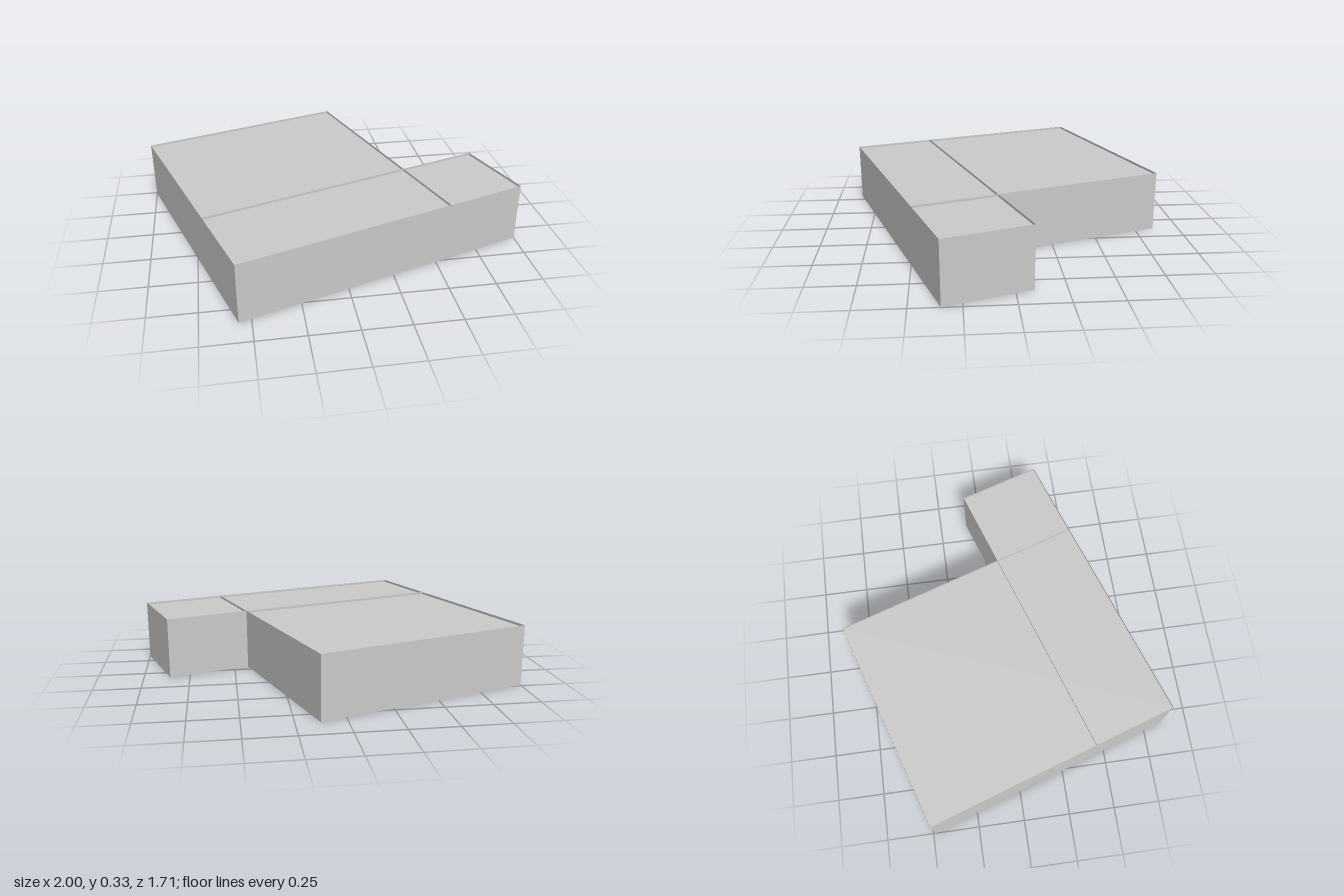
import * as THREE from 'three';

const material = new THREE.MeshStandardMaterial({ color: 0xcccccc, side: THREE.DoubleSide, flatShading: true });

// Plan sizes, measured from the front corner along the two wall directions
const W = 1.643, D = 1.415;      // full width and depth
const MAIN = 1.188, WING = 0.463; // width of the main block, depth of the front wing
const ROOF = 0.317, TOP = 0.33;   // roof level, top of the rim

// Upright sheet from plan point p to q, facing outward for a counterclockwise outline
function sheet(name, p, q, y0, y1) {
  const dx = q[0] - p[0], dz = q[1] - p[1];
  const mesh = new THREE.Mesh(new THREE.PlaneGeometry(Math.hypot(dx, dz), y1 - y0), material);
  mesh.position.set((p[0] + q[0]) / 2, (y0 + y1) / 2, (p[1] + q[1]) / 2);
  mesh.rotation.y = Math.atan2(-dz, dx);
  mesh.name = name;
  return mesh;
}

export function createModel() {
  const model = new THREE.Group();
  model.name = 'building';
  const block = new THREE.Group();
  block.name = 'block';
  block.position.set(-0.563, 0, 0.857);
  block.rotation.y = THREE.MathUtils.degToRad(18);
  model.add(block);

  // L-shaped outline, counterclockwise from above
  const outline = [[0, 0], [W, 0], [W, -WING], [MAIN, -WING], [MAIN, -D], [0, -D]];
  const names = ['front', 'wingEnd', 'wingBack', 'side', 'back', 'otherSide'];

  // Outer walls, open underneath, with a low rim above the roof
  outline.forEach((p, i) => {
    const q = outline[(i + 1) % outline.length];
    block.add(sheet(names[i] + 'Wall', p, q, 0, ROOF));
    block.add(sheet(names[i] + 'Rim', p, q, ROOF, TOP));
  });

  // Low dividers splitting the roof into three fields
  block.add(sheet('longDivider', [0, -WING], [MAIN, -WING], ROOF, TOP));
  block.add(sheet('shortDivider', [MAIN, 0], [MAIN, -WING], ROOF, TOP));

  // Flat roof
  const shape = new THREE.Shape(outline.map(([x, z]) => new THREE.Vector2(x, -z)));
  const roof = new THREE.Mesh(new THREE.ShapeGeometry(shape), material);
  roof.name = 'roof';
  roof.rotation.x = -Math.PI / 2;
  roof.position.y = ROOF;
  block.add(roof);

  return model;
}
